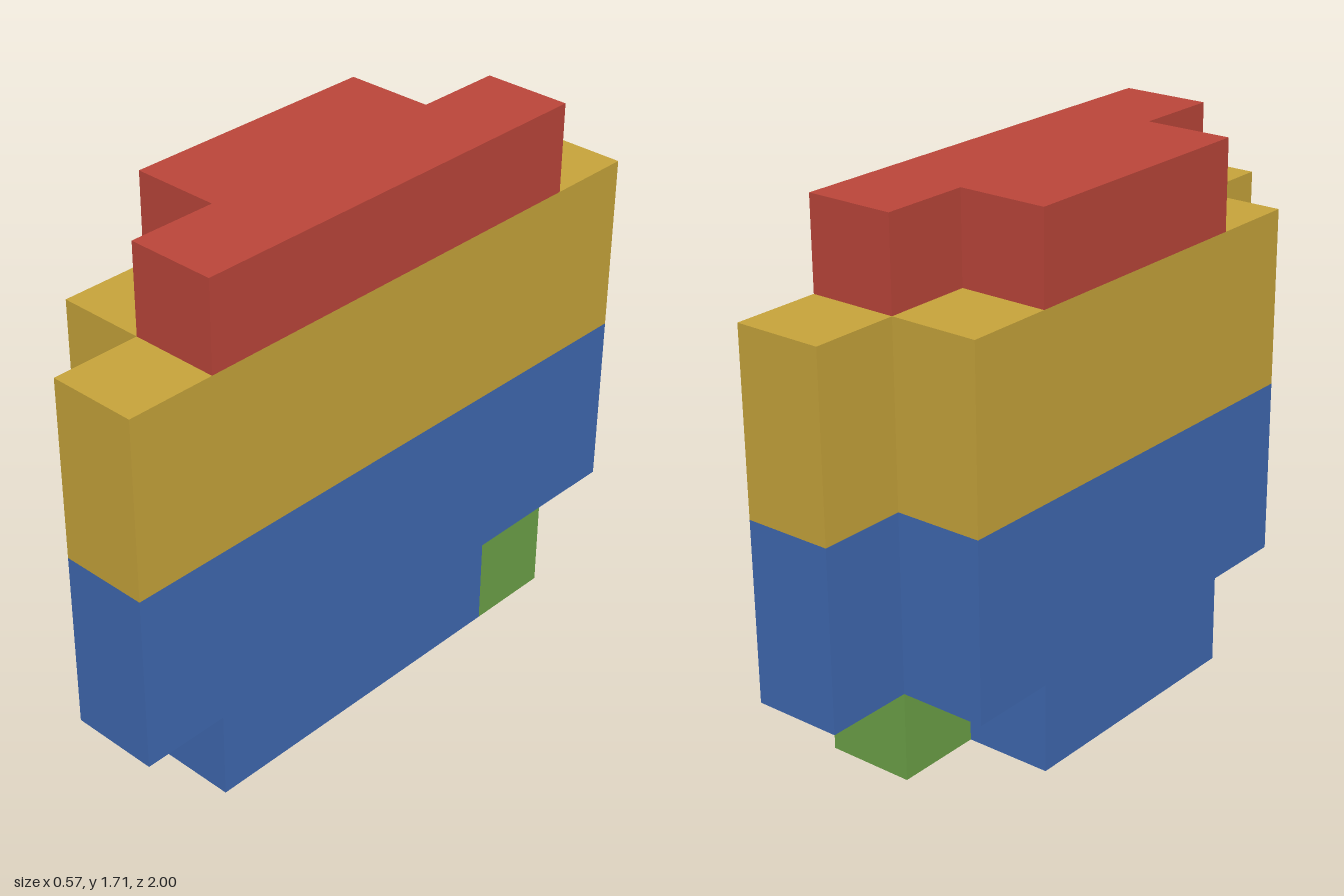
import * as THREE from 'three';

const U = 2 / 7; // one block

const colour = (name, hex) => {
  const m = new THREE.MeshStandardMaterial({ color: hex });
  m.name = name;
  return m;
};

// Slab whose plan is two side-by-side strips, each with its own z range (in blocks)
function layer(name, material, y, height, leftZ, rightZ) {
  const [lb, lf] = leftZ, [rb, rf] = rightZ;
  const plan = [[0, -lf], [1, -lf], [1, -lb], [0, -lb], [0, -rb], [-1, -rb], [-1, -rf], [0, -rf]]
    .map(([x, d]) => new THREE.Vector2(x * U, d * U))
    .filter((p, i, all) => !p.equals(all[(i + 1) % all.length]));
  const geometry = new THREE.ExtrudeGeometry(new THREE.Shape(plan), { depth: height * U, bevelEnabled: false });
  geometry.rotateX(-Math.PI / 2);
  const mesh = new THREE.Mesh(geometry, material);
  mesh.name = name;
  mesh.position.y = y * U;
  return mesh;
}

export function createModel() {
  const blue = colour('blue', 0x406ab2);
  const yellow = colour('yellow', 0xc8a53b);
  const red = colour('red', 0xbc463a);
  const green = colour('green', 0x6da348);

  const model = new THREE.Group();
  model.name = 'blockStack';

  // Stacked layers, bottom to top
  model.add(
    layer('base', blue, 0, 1, [-1.5, 2.5], [-1.5, 1.5]),
    layer('lowerBody', blue, 1, 2, [-3.5, 3.5], [-2.5, 2.5]),
    layer('upperBody', yellow, 3, 2, [-3.5, 3.5], [-2.5, 2.5]),
    layer('cap', red, 5, 1, [-2.5, 2.5], [-1.5, 1.5]),
  );

  // Single block closing the back of the base
  const block = new THREE.Mesh(new THREE.BoxGeometry(U, U, U), green);
  block.name = 'cornerBlock';
  block.position.set(U / 2, U / 2, -2 * U);
  model.add(block);

  return model;
}
